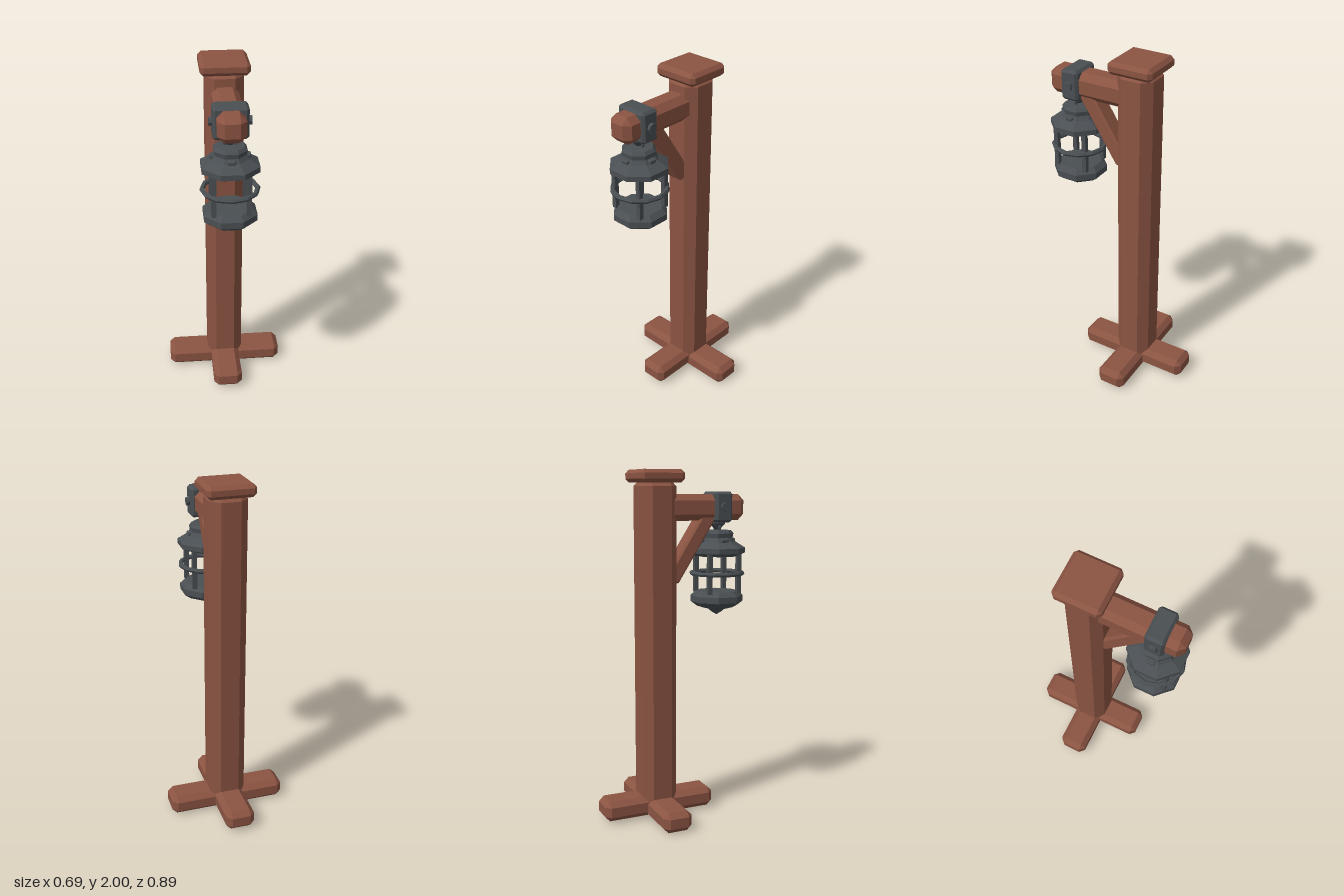
import * as THREE from 'three';
import { ConvexGeometry } from 'three/addons/geometries/ConvexGeometry.js';

// Box with every edge and corner cut off by c
function chamferBox(w, h, d, c) {
  const pts = [];
  for (const sx of [-1, 1]) for (const sy of [-1, 1]) for (const sz of [-1, 1]) {
    const x = w / 2, y = h / 2, z = d / 2;
    pts.push(
      new THREE.Vector3(sx * x, sy * (y - c), sz * (z - c)),
      new THREE.Vector3(sx * (x - c), sy * y, sz * (z - c)),
      new THREE.Vector3(sx * (x - c), sy * (y - c), sz * z));
  }
  return new ConvexGeometry(pts);
}

// Faceted normals for low-poly parts
function faceted(geometry) {
  const g = geometry.index ? geometry.toNonIndexed() : geometry;
  g.computeVertexNormals();
  return g;
}

// Eight-sided turned shape from [radius, y] pairs, bottom to top
function octagonLathe(profile) {
  const pts = profile.map(([r, y]) => new THREE.Vector2(r, y));
  return faceted(new THREE.LatheGeometry(pts, 8, Math.PI / 8));
}

export function createModel() {
  const wood = new THREE.MeshStandardMaterial({ color: 0x8b5442 });
  const iron = new THREE.MeshStandardMaterial({ color: 0x4a4f53 });
  const model = new THREE.Group();
  model.name = 'lanternPost';

  const add = (parent, name, geometry, material, x, y, z) => {
    const mesh = new THREE.Mesh(geometry, material);
    mesh.name = name;
    mesh.position.set(x, y, z);
    parent.add(mesh);
    return mesh;
  };

  // Crossed feet, post and cap
  const postZ = -0.105;
  add(model, 'sideFoot', chamferBox(0.692, 0.118, 0.172, 0.03), wood, 0, 0.059, postZ);
  add(model, 'longFoot', chamferBox(0.17, 0.118, 0.68, 0.03), wood, 0, 0.071, postZ);
  add(model, 'post', chamferBox(0.21, 1.92, 0.212, 0.05), wood, 0, 1.0, postZ);
  add(model, 'postCap', chamferBox(0.268, 0.07, 0.262, 0.02), wood, 0, 1.965, postZ);

  // Arm with its diagonal brace
  add(model, 'arm', chamferBox(0.148, 0.147, 0.5, 0.035), wood, 0, 1.793, 0.182);
  const top = new THREE.Vector3(0, 1.76, 0.22), foot = new THREE.Vector3(0, 1.385, -0.02);
  const mid = top.clone().add(foot).multiplyScalar(0.5);
  const brace = add(model, 'brace', chamferBox(0.11, top.distanceTo(foot), 0.085, 0.012),
    wood, mid.x, mid.y, mid.z);
  brace.rotation.x = Math.atan2(top.z - foot.z, top.y - foot.y);

  // Iron strap around the arm, with bolts
  const lampZ = 0.285;
  add(model, 'strap', chamferBox(0.186, 0.172, 0.106, 0.014), iron, 0, 1.795, lampZ);
  for (const side of [-1, 1]) {
    const bolt = add(model, 'strapBolt', faceted(new THREE.CylinderGeometry(0.025, 0.025, 0.024, 8)),
      iron, side * 0.098, 1.795, lampZ);
    bolt.rotation.z = Math.PI / 2;
  }

  // Lantern, hung on its own axis
  const lantern = new THREE.Group();
  lantern.name = 'lantern';
  lantern.position.z = lampZ;
  model.add(lantern);

  add(lantern, 'hanger', octagonLathe([[0, 1.655], [0.014, 1.665], [0.045, 1.7], [0.045, 1.715], [0, 1.715]]),
    iron, 0, 0, 0);
  add(lantern, 'hangerLink', faceted(new THREE.TorusGeometry(0.032, 0.009, 6, 10)), iron, 0, 1.68, 0);
  add(lantern, 'roof', octagonLathe([
    [0, 1.515], [0.125, 1.515], [0.163, 1.533], [0.163, 1.562], [0.105, 1.598],
    [0.09, 1.62], [0.094, 1.645], [0.08, 1.662], [0, 1.668]]), iron, 0, 0, 0);
  add(lantern, 'base', octagonLathe([
    [0, 1.17], [0.03, 1.188], [0.05, 1.205], [0.115, 1.222], [0.153, 1.25],
    [0.153, 1.285], [0.125, 1.312], [0, 1.312]]), iron, 0, 0, 0);

  // Cage bars at the corners, tabs on the roof faces
  for (let i = 0; i < 4; i++) {
    const a = i * Math.PI / 2, b = a + Math.PI / 4;
    const bar = add(lantern, 'cageBar', new THREE.BoxGeometry(0.026, 0.23, 0.026), iron,
      Math.sin(b) * 0.13, 1.415, Math.cos(b) * 0.13);
    bar.rotation.y = a;
    const tab = add(lantern, 'roofTab', chamferBox(0.046, 0.022, 0.03, 0.005), iron,
      Math.sin(a) * 0.092, 1.606, Math.cos(a) * 0.092);
    tab.rotation.y = a;
  }

  // Guard ring
  const ring = add(lantern, 'guardRing', faceted(new THREE.TorusGeometry(0.147, 0.014, 6, 12)), iron, 0, 1.415, 0);
  ring.rotation.x = Math.PI / 2;

  return model;
}
